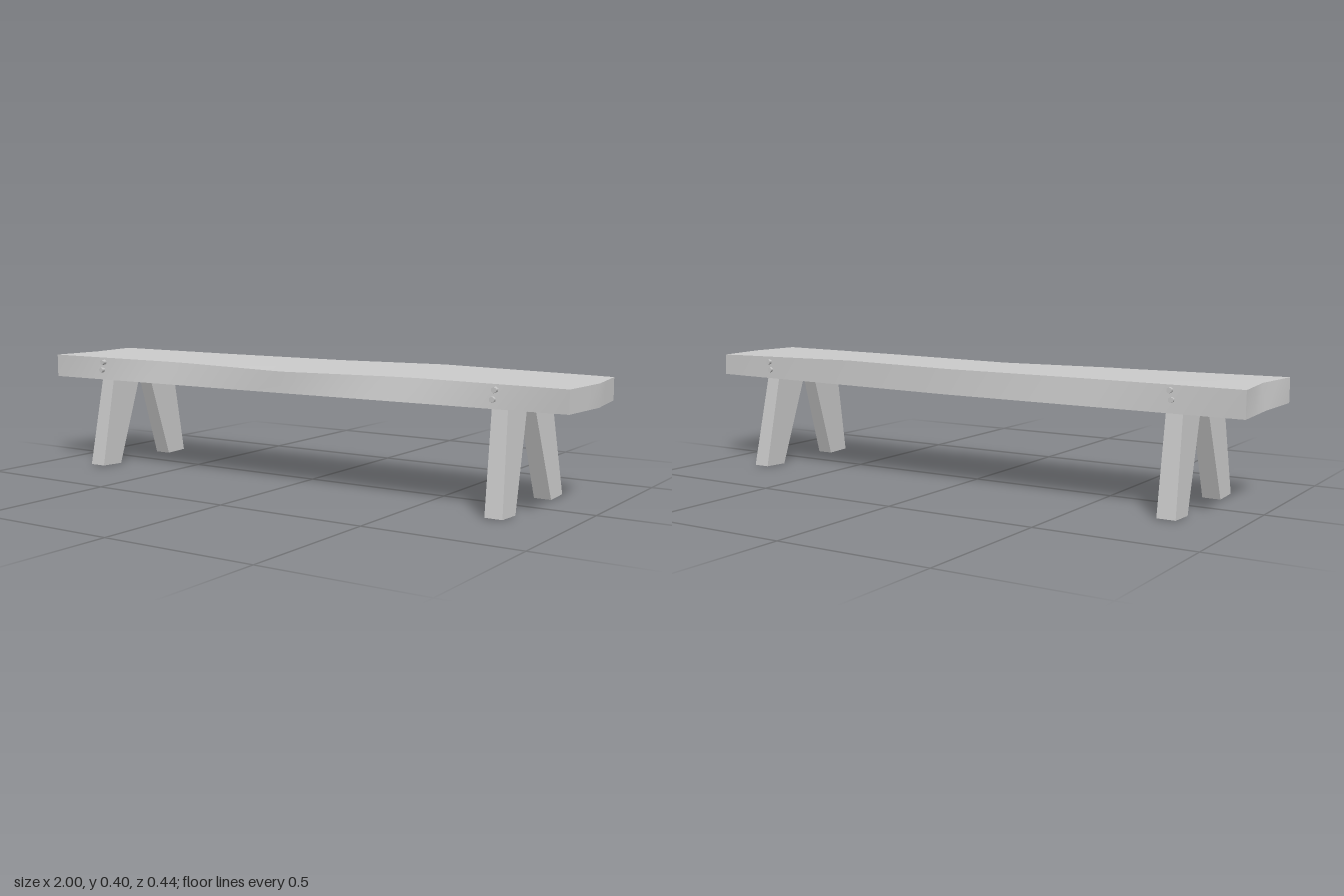
import * as THREE from 'three';

const material = new THREE.MeshStandardMaterial({ color: 0xcccccc });

// Piecewise linear interpolation through [x, value] pairs
function along(points, x) {
  for (let i = 1; i < points.length; i++) {
    const [x0, a] = points[i - 1], [x1, b] = points[i];
    if (x <= x1) return THREE.MathUtils.lerp(a, b, (x - x0) / (x1 - x0));
  }
  return points[points.length - 1][1];
}

// Moves every vertex of a box by a rule
function reshape(geometry, rule) {
  const p = geometry.attributes.position;
  const v = new THREE.Vector3();
  for (let i = 0; i < p.count; i++) {
    rule(v.fromBufferAttribute(p, i));
    p.setXYZ(i, v.x, v.y, v.z);
  }
  geometry.computeVertexNormals();
  return geometry;
}

function addMesh(parent, name, geometry) {
  const mesh = new THREE.Mesh(geometry, material);
  mesh.name = name;
  parent.add(mesh);
  return mesh;
}

// Hand-hewn edges of the plank along its length
const frontTopZ = [[-1, 0.195], [-0.5, 0.172], [0, 0.181], [0.45, 0.165], [0.8, 0.186], [1, 0.196]];
const frontBottomZ = [[-1, 0.195], [0, 0.187], [0.45, 0.19], [1, 0.197]];
const backTopZ = [[-1, -0.184], [-0.5, -0.174], [0, -0.182], [1, -0.181]];
const backBottomZ = [[-1, -0.186], [0, -0.189], [1, -0.182]];
const frontTopY = [[-1, 0.389], [-0.4, 0.387], [0, 0.381], [0.45, 0.388], [1, 0.388]];
const backTopY = [[-1, 0.389], [0, 0.391], [0.4, 0.397], [1, 0.389]];
const frontBottomY = [[-1, 0.31], [0, 0.312], [1, 0.318]];
const backBottomY = [[-1, 0.306], [0, 0.309], [1, 0.318]];

function plankGeometry() {
  return reshape(new THREE.BoxGeometry(2, 1, 1, 20, 1, 4), (v) => {
    const x = v.x, t = v.z + 0.5, top = v.y > 0;
    const bow = 1 - Math.abs(2 * t - 1);
    v.z = THREE.MathUtils.lerp(along(top ? backTopZ : backBottomZ, x), along(top ? frontTopZ : frontBottomZ, x), t);
    v.y = THREE.MathUtils.lerp(along(top ? backTopY : backBottomY, x), along(top ? frontTopY : frontBottomY, x), t);
    // Hollow right-hand end, bulging left-hand end
    if (x < -0.99) v.x = -1 + bow * (top ? 0.02 : 0.008);
    if (x > 0.99) v.x = THREE.MathUtils.lerp(0.974, 0.985, t) + bow * 0.02;
  });
}

// Splayed, tapering leg: x ranges at the foot and head, side = +1 front, -1 back
function legGeometry(foot, head, side) {
  return reshape(new THREE.BoxGeometry(1, 1, 1), (v) => {
    const top = v.y > 0, outer = v.z * side > 0;
    const range = top ? head : foot;
    v.x = v.x < 0 ? range[0] : range[1];
    v.z = side * (top ? (outer ? 0.161 : 0.024) : (outer ? 0.221 : 0.132));
    v.y = top ? 0.318 : (outer ? 0.003 : 0);
  });
}

export function createModel() {
  const group = new THREE.Group();
  group.name = 'bench';
  addMesh(group, 'seatPlank', plankGeometry());

  const ends = [
    { name: 'Right', foot: [-0.815, -0.755], head: [-0.805, -0.752], pegX: -0.772 },
    { name: 'Left', foot: [0.747, 0.804], head: [0.735, 0.786], pegX: 0.758 },
  ];
  for (const end of ends) {
    for (const side of [1, -1]) {
      const place = side > 0 ? 'front' : 'back';
      addMesh(group, `${place}${end.name}Leg`, legGeometry(end.foot, end.head, side));
      // Pegs standing just proud of the plank's edge
      [0.372, 0.344].forEach((y, i) => {
        const peg = addMesh(group, `${place}${end.name}Peg${i + 1}`, new THREE.CylinderGeometry(0.009, 0.009, 0.04, 6));
        peg.rotation.x = Math.PI / 2;
        peg.position.set(end.pegX - i * 0.006, side > 0 ? y : y + 0.002, side > 0 ? 0.181 : -0.172);
      });
    }
  }
  return group;
}
